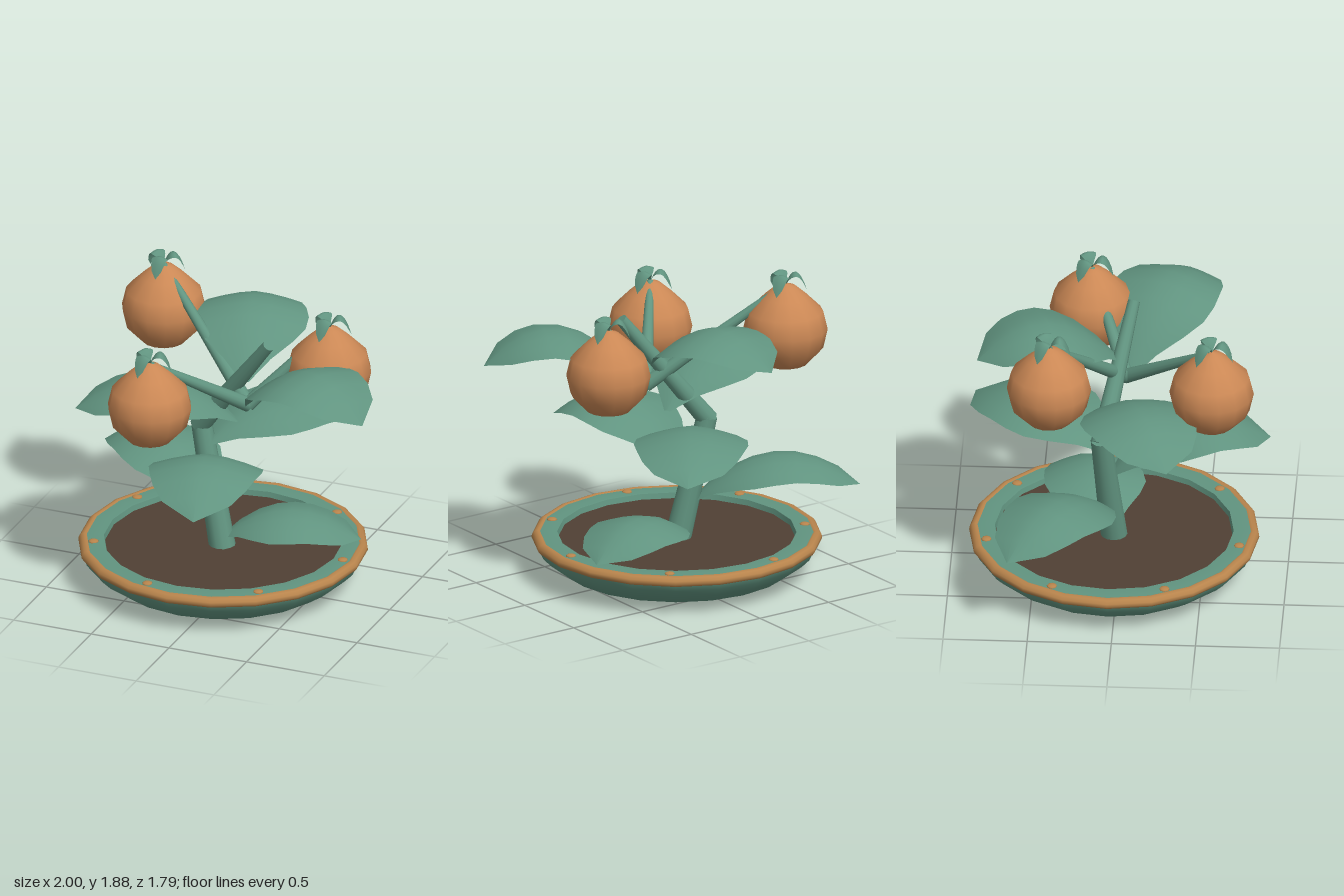
import * as THREE from 'three';

const mat = (name, color, side = THREE.FrontSide) => {
  const m = new THREE.MeshStandardMaterial({ color, side });
  m.name = name;
  return m;
};

export function createModel() {
  const green = mat('plant green', 0x619480, THREE.DoubleSide);
  const orange = mat('fruit orange', 0xcb8855);
  const copper = mat('rim copper', 0xb8844c);
  const brown = mat('soil brown', 0x504034);

  const model = new THREE.Group();
  model.name = 'pottedFruitPlant';
  const v = (x, y, z) => new THREE.Vector3(x, y, z);

  const add = (parent, name, geometry, material, x = 0, y = 0, z = 0) => {
    const mesh = new THREE.Mesh(geometry, material);
    mesh.name = name;
    mesh.position.set(x, y, z);
    parent.add(mesh);
    return mesh;
  };
  const lathe = (points, segments) =>
    new THREE.LatheGeometry(points.map(([r, y]) => new THREE.Vector2(r, y)), segments);

  // Tapered round limb between two points
  const limb = (parent, name, a, b, ra, rb) => {
    const dir = b.clone().sub(a);
    const mesh = add(parent, name, new THREE.CylinderGeometry(rb, ra, dir.length(), 12), green);
    mesh.position.copy(a).add(b).multiplyScalar(0.5);
    mesh.quaternion.setFromUnitVectors(v(0, 1, 0), dir.normalize());
    return mesh;
  };

  // Arched blade running along +x: rises by arch, ends at tipRise, sides droop
  const WIDTHS = [0.06, 0.42, 0.76, 0.97, 1, 0.93, 0.82, 0.6, 0];
  const blade = (length, halfWidth, tipRise, arch, droop) => {
    const rows = WIDTHS.length - 1;
    const geometry = new THREE.PlaneGeometry(1, 1, 6, rows);
    const p = geometry.attributes.position;
    for (let i = 0; i < p.count; i++) {
      const t = p.getY(i) + 0.5;
      const s = p.getX(i) * 2 * WIDTHS[Math.round(t * rows)];
      p.setXYZ(i, t * length,
        tipRise * t + arch * 4 * t * (1 - t) - droop * Math.abs(s) ** 1.5, s * halfWidth);
    }
    geometry.computeVertexNormals();
    return geometry;
  };

  // Shallow pot with rim, soil and studs
  const pot = new THREE.Group();
  pot.name = 'pot';
  pot.position.set(-0.085, 0, -0.03);
  model.add(pot);
  add(pot, 'bowl', lathe([[0, 0.005], [0.25, 0.015], [0.5, 0.033], [0.68, 0.05],
    [0.78, 0.12], [0.83, 0.17], [0.845, 0.21]], 20), green);
  add(pot, 'rim', lathe([[0.83, 0.2], [0.85, 0.205], [0.862, 0.222], [0.86, 0.24],
    [0.845, 0.258], [0.825, 0.265], [0.81, 0.258]], 20), copper);
  add(pot, 'innerLip', lathe([[0.825, 0.258], [0.77, 0.262], [0.71, 0.258]], 20), green);
  add(pot, 'innerWall', lathe([[0.71, 0.258], [0.7, 0.21]], 20), green);
  const soil = add(pot, 'soil', new THREE.CircleGeometry(0.71, 20), brown, 0, 0.225, 0);
  soil.rotation.x = -Math.PI / 2;
  const studGeometry = new THREE.SphereGeometry(0.032, 8, 6);
  for (let i = 0; i < 7; i++) {
    const a = (i / 7) * Math.PI * 2;
    const stud = add(pot, 'stud', studGeometry, copper, 0.77 * Math.cos(a), 0.26, 0.77 * Math.sin(a));
    stud.scale.y = 0.4;
  }

  // Bent stem
  const base = v(-0.09, 0.21, -0.03);
  const bend = v(-0.255, 0.97, -0.1);
  limb(model, 'lowerStem', base, bend, 0.08, 0.062);
  limb(model, 'upperStem', v(-0.265, 0.945, -0.1), v(0.25, 1.63, 0.07), 0.062, 0.036);

  // Leaves: base x, y, z, tip x, y, z, arch, half width
  const leaves = [
    [-0.1, 0.27, -0.04, 0.69, 0.28, -0.3, 0.18, 0.3],
    [-0.16, 0.43, -0.05, -1.0, 0.54, -0.62, 0.24, 0.31],
    [-0.13, 0.65, -0.05, 0.11, 0.8, 0.89, 0.28, 0.34],
    [-0.2, 0.85, -0.05, 0.44, 0.87, -0.88, 0.19, 0.34],
    [0.0, 1.04, -0.05, -0.89, 1.12, 0.32, 0.22, 0.34],
    [0.1, 1.18, 0.03, 1.0, 1.39, 0.42, 0.3, 0.34],
    [0.07, 1.33, 0.0, -0.2, 1.46, -0.84, 0.25, 0.34],
  ];
  for (const [x, y, z, tx, ty, tz, arch, half] of leaves) {
    const leaf = add(model, 'leaf',
      blade(Math.hypot(tx - x, tz - z), half, ty - y, arch, 0.085), green, x, y, z);
    leaf.rotation.y = -Math.atan2(tz - z, tx - x);
  }

  // Fruits on branches, each with a three-part crown: x, y, z, crown turn
  const fruitGeometry = lathe([[0, -0.25], [0.13, -0.215], [0.225, -0.115], [0.251, 0],
    [0.225, 0.11], [0.135, 0.2], [0.06, 0.265], [0, 0.285]], 14);
  const sepalGeometry = blade(0.13, 0.048, -0.04, 0.1, 0.015);
  const fork = v(0.1, 1.2, 0.03);
  const fruits = [
    [-0.62, 1.53, -0.39, 0],
    [-0.31, 1.345, 0.56, 0.2],
    [0.53, 1.41, -0.195, 0.1],
  ];
  for (const [x, y, z, turn] of fruits) {
    limb(model, 'branch', fork, v(x, y + 0.27, z), 0.045, 0.022);
    const fruit = new THREE.Group();
    fruit.name = 'fruit';
    fruit.position.set(x, y, z);
    model.add(fruit);
    add(fruit, 'fruitBody', fruitGeometry, orange);
    for (let i = 0; i < 3; i++) {
      const sepal = add(fruit, 'sepal', sepalGeometry, green, 0, 0.27, 0);
      sepal.rotation.y = -(Math.PI / 2 + turn + (i * Math.PI * 2) / 3);
    }
  }

  return model;
}
